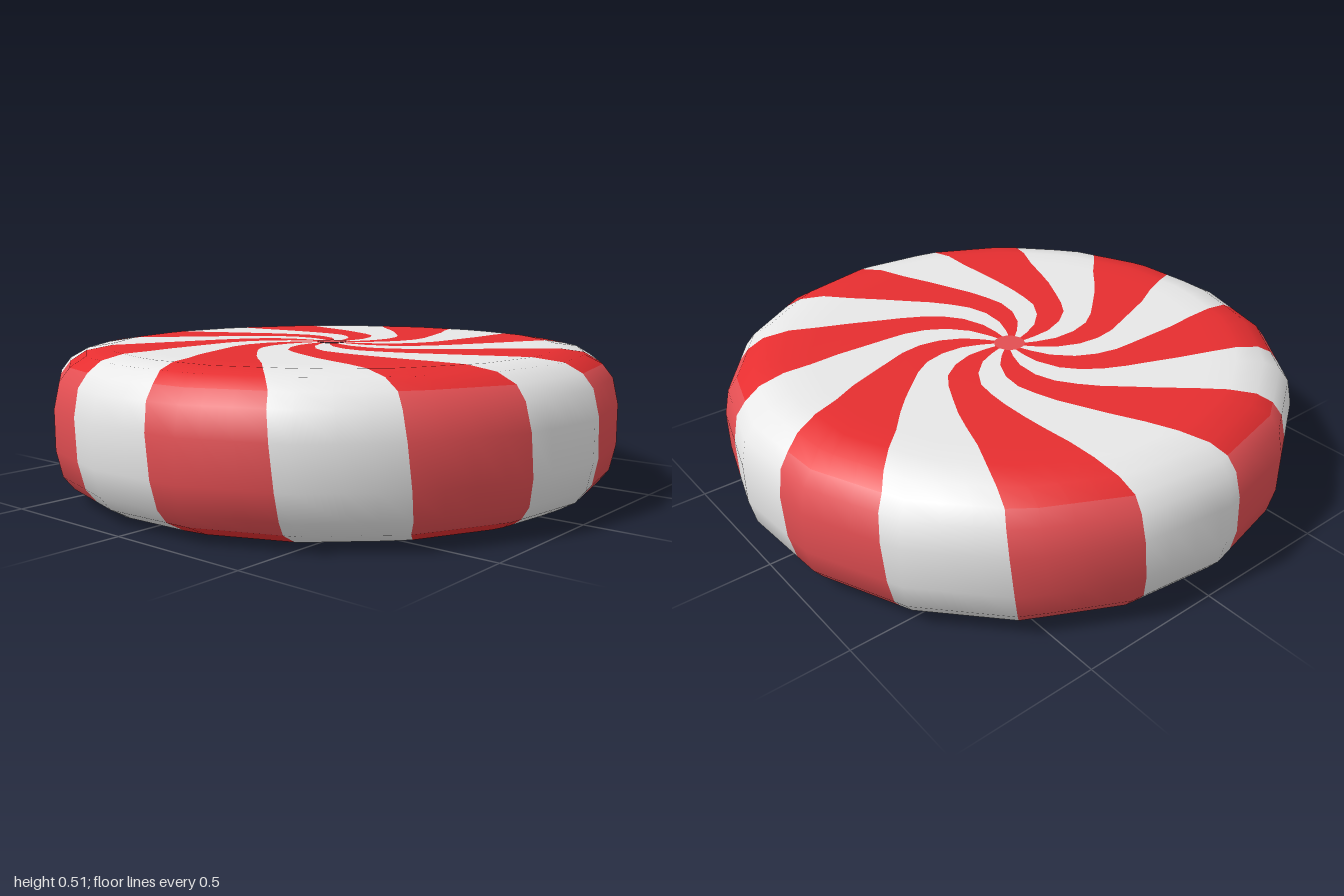
import * as THREE from 'three';

const RAD = Math.PI / 180;
const SIDES = 18, STRIPES = 8, STEP = 360 / SIDES, CORNER = -3.2;
const SLANT = 2.5; // degrees the stripes lean across the side wall

const material = (name, color) => {
  const m = new THREE.MeshStandardMaterial({ color });
  m.name = name;
  return m;
};

// Swirl on the flat faces: radius and twist in degrees
const SWIRL = [[0.05, 65], [0.1, 60], [0.17, 55], [0.25, 47], [0.32, 39], [0.38, 31],
  [0.44, 24], [0.52, 17], [0.6, 12], [0.7, 7], [0.8, 4]];
// Rounded shoulder and wall: radius, height, normal tilt from vertical, twist
const SHOULDER = [[0.89, 0.488, 25, 1.5], [0.945, 0.455, 42, 0]];
const WALL = [[0.945, 0.455, 42], [0.98, 0.41, 60], [1, 0.32, 82]];

const ring = (r, y, tilt, twist = 0, slant = 0, shift = 0) => ({ r, y, tilt, twist, slant, shift });

const topRows = [
  ...SWIRL.map(([r, t]) => ring(r, 0.502, r > 0.75 ? 6 : 0, t, 0, 1 - r / 0.8)),
  ...SHOULDER.map(([r, y, n, t]) => ring(r, y, n, t)),
];
const wallRows = [
  ...WALL.map(([r, y, n]) => ring(r, y, n)),
  ...WALL.slice().reverse().map(([r, y, n]) => ring(r, 0.502 - y, 180 - n)),
];
wallRows.forEach((row) => { row.slant = SLANT * (0.455 - row.y) / 0.408; });
const bottomRows = topRows.map((row) => ({
  ...row, y: 0.502 - row.y, tilt: 180 - row.tilt, twist: -row.twist, slant: SLANT, shift: 0,
})).reverse();

// Distance factor that turns a circle into the many-sided outline
function outline(deg) {
  const local = ((deg - CORNER) % STEP + STEP) % STEP - STEP / 2;
  return Math.cos(STEP / 2 * RAD) / Math.cos(local * RAD);
}

// One band of a stripe between two angles, swept through the given rings
function stripeBand(rows, start, end) {
  const columns = [];
  for (let i = 0; i <= 4; i++) columns.push({ a: start + (end - start) * i / 4, lean: 1 });
  for (let k = -2; k < 2 * SIDES; k++) {
    const a = CORNER + k * STEP;
    if (a > start + 0.2 && a < end - SLANT - 0.2) columns.push({ a, lean: 0 });
  }
  columns.sort((p, q) => p.a - q.a);
  // keep leaning columns from crossing a corner
  const clean = columns.filter((c, i) => i === 0 || i === columns.length - 1 || c.lean === 0 ||
    !columns.some((d) => d.lean === 0 && Math.abs(d.a - c.a) < SLANT + 0.3));

  const position = [], normal = [], index = [];
  for (const row of rows) {
    for (const c of clean) {
      const a = c.a + row.twist - row.slant * c.lean;
      const r = row.r * outline(a);
      const x = Math.cos(a * RAD), z = Math.sin(a * RAD), s = Math.sin(row.tilt * RAD);
      position.push(r * x - 0.03 * row.shift, row.y, r * z - 0.02 * row.shift);
      normal.push(s * x, Math.cos(row.tilt * RAD), s * z);
    }
  }
  const n = clean.length;
  for (let i = 0; i < rows.length - 1; i++) {
    for (let j = 0; j < n - 1; j++) {
      const p = i * n + j;
      index.push(p, p + 1, p + n, p + 1, p + n + 1, p + n);
    }
  }
  const g = new THREE.BufferGeometry();
  g.setAttribute('position', new THREE.Float32BufferAttribute(position, 3));
  g.setAttribute('normal', new THREE.Float32BufferAttribute(normal, 3));
  g.setIndex(index);
  return g;
}

export function createModel() {
  const white = material('sugarWhite', 0xececec);
  const red = material('faceRed', 0xe62e30);
  const softRed = material('wallRed', 0xe24e52);

  const candy = new THREE.Group();
  candy.name = 'swirlCandy';
  const add = (name, geometry, mat) => {
    const mesh = new THREE.Mesh(geometry, mat);
    mesh.name = name;
    candy.add(mesh);
    return mesh;
  };

  // Alternating red and white stripes on the top, wall and bottom
  const pitch = 360 / STRIPES;
  for (let k = 0; k < STRIPES; k++) {
    const a = 16.5 + k * pitch, b = a + 23, c = a + pitch;
    for (const [name, rows, tint] of [['top', topRows, red], ['wall', wallRows, softRed], ['bottom', bottomRows, red]]) {
      add(name + 'RedStripe', stripeBand(rows, a, b), tint);
      add(name + 'WhiteStripe', stripeBand(rows, b, c), white);
    }
  }

  // Small spots where the stripes meet
  const spot = new THREE.CircleGeometry(0.055, 14);
  const topSpot = add('topSpot', spot, softRed);
  topSpot.rotation.x = -Math.PI / 2;
  topSpot.position.set(-0.028, 0.504, -0.019);
  const bottomSpot = add('bottomSpot', spot, softRed);
  bottomSpot.rotation.x = Math.PI / 2;
  bottomSpot.position.y = -0.002;

  return candy;
}
